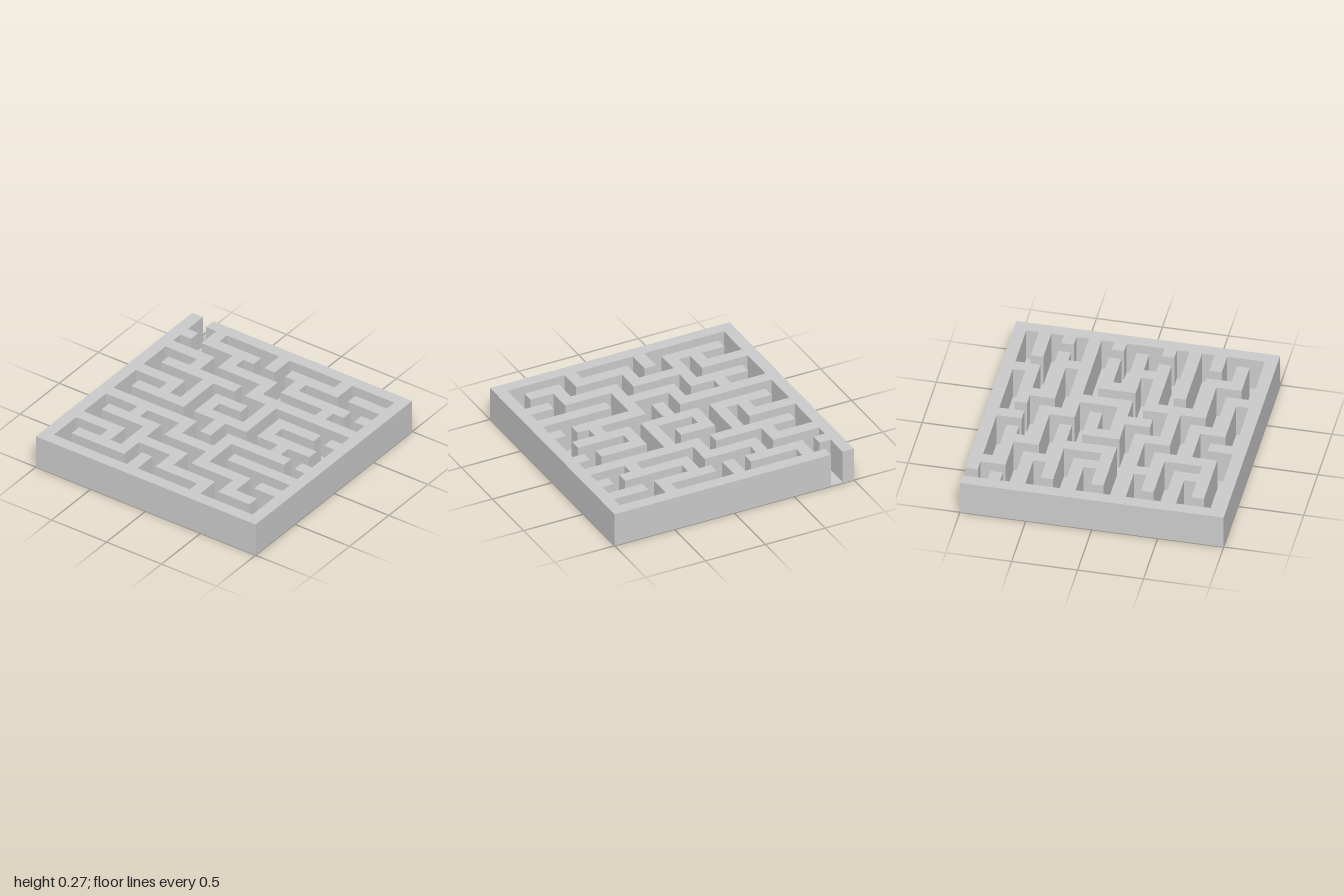
import * as THREE from 'three';

const N = 21, CELL = 2 / N, HEIGHT = 0.275, FLOOR = 0.01;

// Odd rows are corridors from column 1 to 19; these columns block them, back to front
const BLOCKS = [
  [3, 9, 15], [6, 12], [4, 10, 16], [6, 12], [4, 6, 8, 12, 14],
  [10, 16], [4, 8, 12], [6, 12], [4, 6, 10, 16], [8, 14],
];

// Even rows are walls; these columns open them, the first being the entrance
const GAPS = [
  [1], [2, 8, 10, 16], [5, 11, 18], [1, 9], [5, 7, 11, 13, 18],
  [1, 7, 13, 19], [9, 11, 18], [1, 7, 13], [5, 11, 17], [1, 7, 9, 15, 19], [],
];

function solid(x, y) {
  if (x < 0 || y < 0 || x >= N || y >= N) return false;
  if (x === 0 || x === N - 1) return true;
  return y % 2 ? BLOCKS[(y - 1) / 2].includes(x) : !GAPS[y / 2].includes(x);
}

// Closed outlines between wall and open cells, with only the corners kept
function traceOutlines() {
  const next = new Map();
  const edge = (ax, ay, bx, by) => next.set(`${ax},${ay}`, [bx, by]);
  for (let y = 0; y < N; y++) {
    for (let x = 0; x < N; x++) {
      if (!solid(x, y)) continue;
      if (!solid(x, y - 1)) edge(x, y, x + 1, y);
      if (!solid(x + 1, y)) edge(x + 1, y, x + 1, y + 1);
      if (!solid(x, y + 1)) edge(x + 1, y + 1, x, y + 1);
      if (!solid(x - 1, y)) edge(x, y + 1, x, y);
    }
  }
  const loops = [];
  while (next.size) {
    const points = [];
    let key = next.keys().next().value;
    while (next.has(key)) {
      const p = next.get(key);
      next.delete(key);
      points.push(p);
      key = p.join(',');
    }
    const corners = points.filter((p, i) => {
      const a = points[(i + points.length - 1) % points.length];
      const b = points[(i + 1) % points.length];
      return a[0] !== b[0] && a[1] !== b[1];
    });
    loops.push(corners.map(([x, y]) => new THREE.Vector2(x * CELL - 1, 1 - y * CELL)));
  }
  return loops;
}

export function createModel() {
  const model = new THREE.Group();
  model.name = 'maze';
  const material = new THREE.MeshStandardMaterial({ color: 0xcccccc, flatShading: true });

  // Thin floor under the whole maze
  const floor = new THREE.Mesh(new THREE.BoxGeometry(2, FLOOR, 2), material);
  floor.name = 'floor';
  floor.position.y = FLOOR / 2;
  model.add(floor);

  // Walls: the largest outline is the outside, the rest are closed pockets
  const area = (loop) => Math.abs(THREE.ShapeUtils.area(loop));
  const [outer, ...pockets] = traceOutlines().sort((a, b) => area(b) - area(a));
  const shape = new THREE.Shape(outer);
  shape.holes = pockets.map((loop) => new THREE.Path(loop));
  const geometry = new THREE.ExtrudeGeometry(shape, { depth: HEIGHT - FLOOR, bevelEnabled: false });
  geometry.rotateX(-Math.PI / 2);
  const walls = new THREE.Mesh(geometry, material);
  walls.name = 'walls';
  walls.position.y = FLOOR;
  model.add(walls);

  return model;
}
